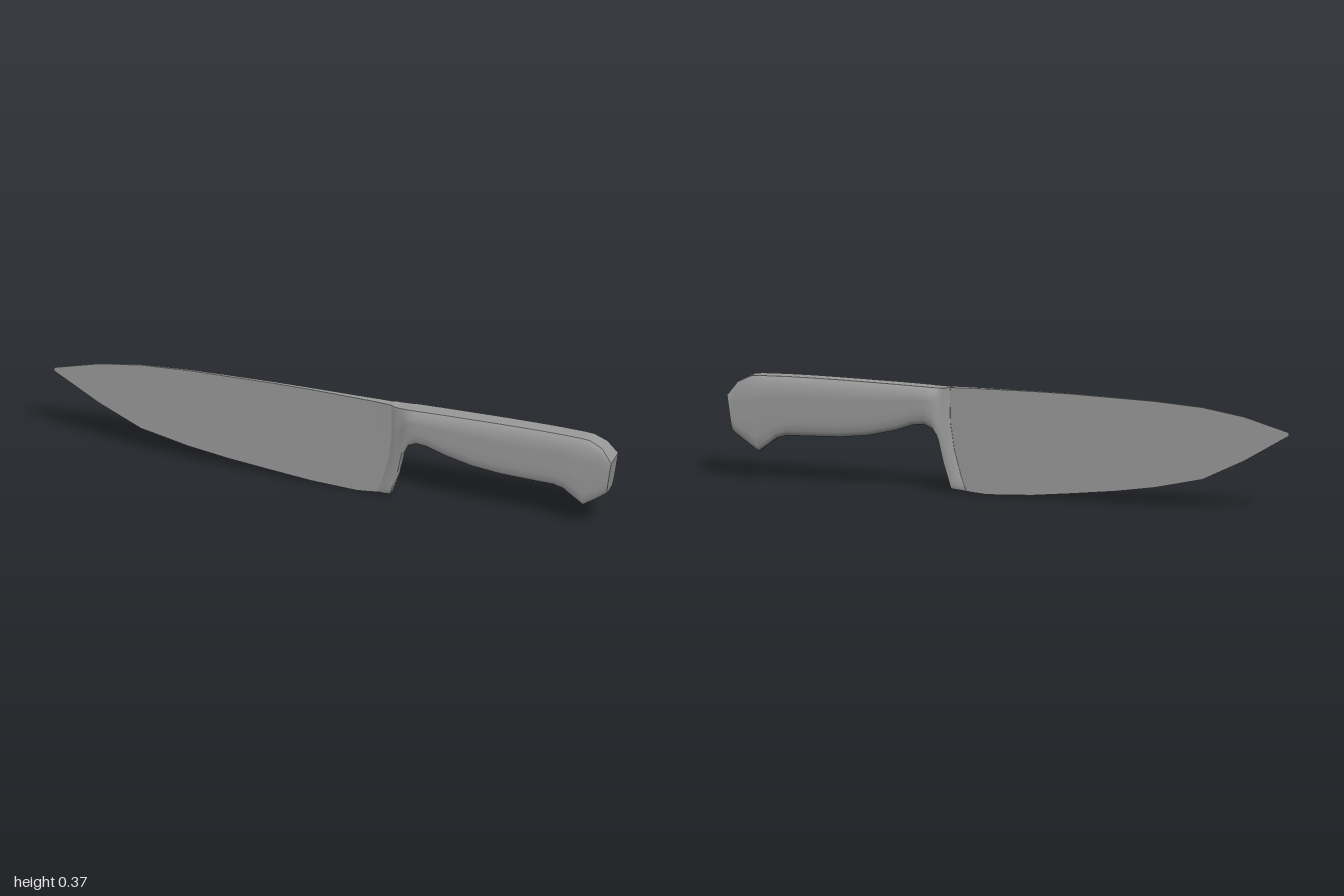
import * as THREE from 'three';
import { toCreasedNormals } from 'three/addons/utils/BufferGeometryUtils.js';

const lerp = THREE.MathUtils.lerp;

// Closed loft through symmetric rings ordered along +x, capped at both ends
function loft(rings, crease) {
  const n = rings[0].length;
  const index = [];
  for (let i = 0; i < rings.length - 1; i++) {
    for (let j = 0; j < n; j++) {
      const a = i * n + j, c = i * n + (j + 1) % n;
      index.push(a, c, a + n, a + n, c, c + n);
    }
  }
  // Caps are strips joining each point with its mirrored partner
  const last = (rings.length - 1) * n;
  for (let k = 0; k < n / 2 - 1; k++) {
    const p = k, p2 = k + 1, q = n - 1 - k, q2 = n - 2 - k;
    index.push(p, q2, p2, p, q, q2);
    index.push(last + p, last + p2, last + q2, last + p, last + q2, last + q);
  }
  const geometry = new THREE.BufferGeometry();
  geometry.setAttribute('position', new THREE.Float32BufferAttribute(rings.flat(2), 3));
  geometry.setIndex(index);
  return toCreasedNormals(geometry, crease);
}

// Ring from [fraction down the section, half width] pairs, mirrored in z
function ring([tx, ty], [bx, by], bow, profile) {
  const side = profile.map(([t, w]) => [lerp(tx, bx, t) + bow * 4 * t * (1 - t), lerp(ty, by, t), w]);
  return [...side, ...side.map(([x, y, z]) => [x, y, -z]).reverse()];
}

function mesh(name, geometry) {
  const m = new THREE.Mesh(geometry, new THREE.MeshStandardMaterial({ color: 0x999999 }));
  m.name = name;
  return m;
}

function createBlade() {
  // top x, top y, bottom x, bottom y, spine half width, edge half width, bow
  const sections = [
    [-1, 0.286, -1, 0.274, 0.001, 0.001],
    [-0.84, 0.33, -0.84, 0.177, 0.002, 0.001],
    [-0.69, 0.353, -0.69, 0.103, 0.003, 0.001],
    [-0.52, 0.363, -0.52, 0.064, 0.004, 0.0015],
    [-0.38, 0.366, -0.38, 0.042, 0.005, 0.002],
    [-0.22, 0.369, -0.22, 0.023, 0.0055, 0.002],
    [-0.08, 0.369, -0.08, 0.008, 0.0065, 0.003],
    [0.08, 0.367, 0.08, 0, 0.0095, 0.004],
    [0.16, 0.366, 0.13, 0.004, 0.012, 0.004, 0.01],
    [0.212, 0.364, 0.18, 0.01, 0.014, 0.004, 0.02],
  ];
  const rings = sections.map(([tx, ty, bx, by, wt, wb, bow = 0]) =>
    ring([tx, ty], [bx, by], bow, [0, 0.25, 0.5, 0.75, 1].map((t) => [t, lerp(wt, wb, t)])));
  return mesh('blade', loft(rings, 0.5));
}

function createHandle() {
  // top x, top y, bottom x, bottom y, then half widths of side, top, bottom and lower side, bow
  const sections = [
    // bolster
    [0.208, 0.365, 0.155, 0.009, 0.0152, 0.0152, 0.006, 0.007, 0.021],
    [0.222, 0.363, 0.18, 0.011, 0.021, 0.02, 0.012, 0.018, 0.018],
    [0.232, 0.362, 0.206, 0.014, 0.0225, 0.021, 0.014, 0.022, 0.006],
    [0.242, 0.362, 0.231, 0.09, 0.024, 0.022, 0.012],
    [0.255, 0.362, 0.249, 0.175, 0.031, 0.023, 0.014],
    [0.272, 0.362, 0.27, 0.218, 0.038, 0.024, 0.018],
    // grip
    [0.29, 0.363, 0.3, 0.233],
    [0.34, 0.364, 0.34, 0.228],
    [0.4, 0.365, 0.4, 0.206],
    [0.5, 0.366, 0.5, 0.181],
    [0.6, 0.367, 0.6, 0.169],
    [0.72, 0.367, 0.72, 0.164],
    [0.8, 0.366, 0.79, 0.162],
    // hooked butt
    [0.86, 0.364, 0.825, 0.152],
    [0.89, 0.363, 0.855, 0.129],
    [0.92, 0.36, 0.893, 0.101, 0.04, 0.025, 0.022, 0.036],
    [0.965, 0.338, 0.945, 0.137, 0.04, 0.029, 0.024],
    [1, 0.291, 0.982, 0.165, 0.04, 0.039, 0.026],
  ];
  const rings = sections.map(([tx, ty, bx, by, w = 0.04, wt = 0.025, wb = 0.022, low = w, bow = 0]) => {
    const h = ty - by;
    const t0 = 0.026 / h, t1 = 1 - 0.045 / h;
    // Bevelled top edge, flat side, rounded underside
    const side = [0, 0.33, 0.67, 1].map((s) => [lerp(t0, t1, s), lerp(w, low, s)]);
    const under = [[0.6, 0.18], [0.85, 0.5], [1, 1]].map(([s, f]) => [lerp(t1, 1, s), lerp(low, wb, f)]);
    return ring([tx, ty], [bx, by], bow, [[0, wt], ...side, ...under]);
  });
  return mesh('handle', loft(rings, 0.72));
}

export function createModel() {
  const group = new THREE.Group();
  group.name = 'kitchenKnife';
  group.add(createBlade(), createHandle());
  return group;
}
